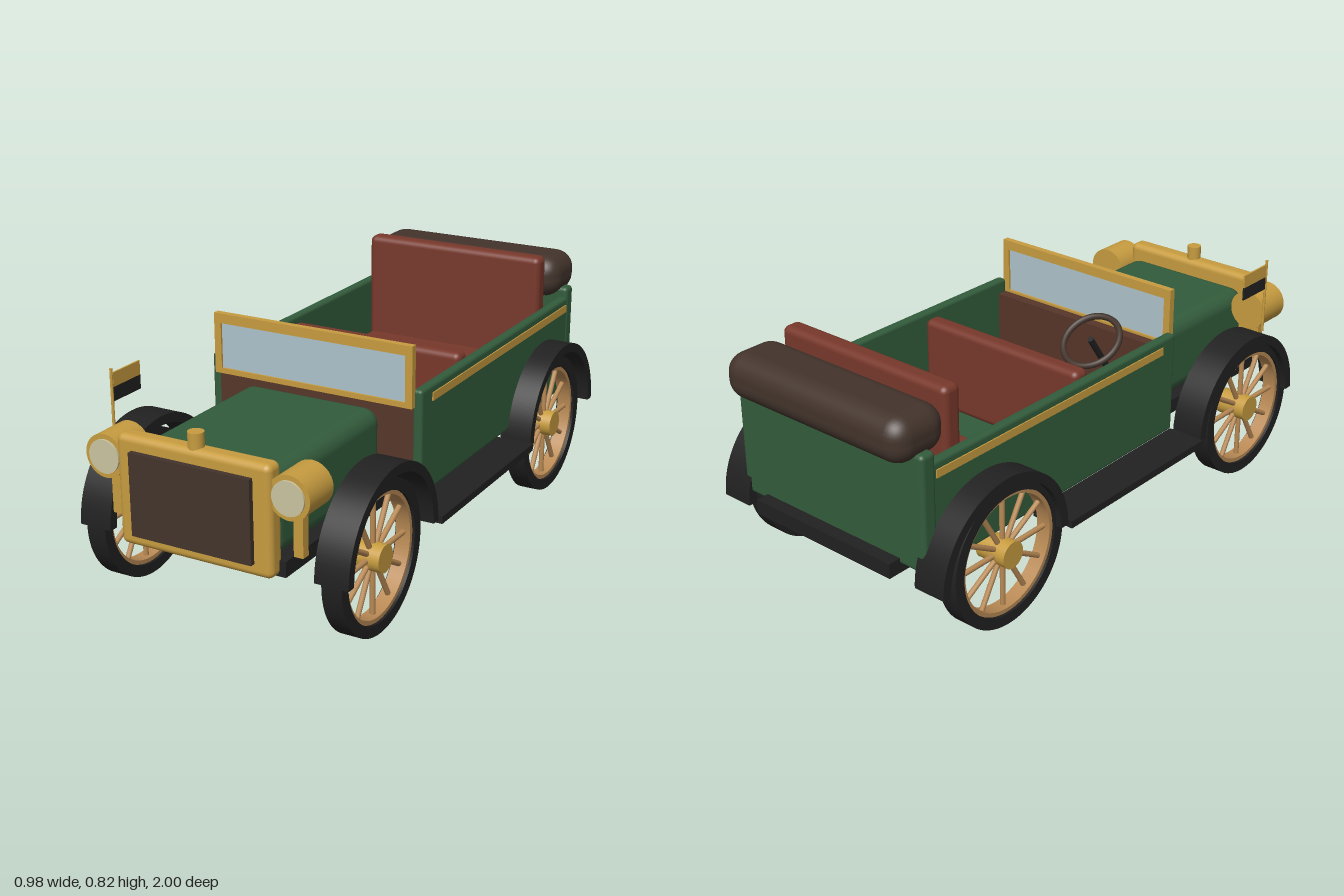
import * as THREE from 'three';
import { RoundedBoxGeometry } from 'three/addons/geometries/RoundedBoxGeometry.js';

const mat = (name, color, side = THREE.FrontSide) => {
  const m = new THREE.MeshStandardMaterial({ color, side });
  m.name = name;
  return m;
};

export function createModel() {
  const green = mat('green paint', 0x335c3c);
  const brass = mat('brass', 0xc79c40);
  const leather = mat('red leather', 0x78382b);
  const brown = mat('dark brown', 0x43342c);
  const panelBrown = mat('panel brown', 0x573629);
  const black = mat('black', 0x212121);
  const wood = mat('spoke wood', 0xb98a55);
  const glass = mat('glass', 0xaec3cb);
  const lensCream = mat('lens cream', 0xcbc4a0);

  const car = new THREE.Group();
  car.name = 'vintageCar';

  const add = (name, geometry, material, parent = car) => {
    const mesh = new THREE.Mesh(geometry, material);
    mesh.name = name;
    parent.add(mesh);
    return mesh;
  };
  // Box given by its limits on each axis; r rounds the edges
  const box = (name, material, [x0, x1], [y0, y1], [z0, z1], r = 0) => {
    const size = [x1 - x0, y1 - y0, z1 - z0];
    const g = r ? new RoundedBoxGeometry(...size, 4, r) : new THREE.BoxGeometry(...size);
    g.translate((x0 + x1) / 2, (y0 + y1) / 2, (z0 + z1) / 2);
    return add(name, g, material);
  };
  const cylinder = (r, h, seg = 32) => new THREE.CylinderGeometry(r, r, h, seg);
  // Ring or half ring standing in the yz plane, centred on x = 0
  const ring = (outer, inner, width, angle) => {
    const s = new THREE.Shape();
    s.absarc(0, 0, outer, 0, angle, false);
    if (angle < 6) {
      s.absarc(0, 0, inner, angle, 0, true);
      s.closePath();
    } else {
      const hole = new THREE.Path();
      hole.absarc(0, 0, inner, 0, angle, true);
      s.holes.push(hole);
    }
    const g = new THREE.ExtrudeGeometry(s, { depth: width, bevelEnabled: false, curveSegments: 56 });
    g.translate(0, 0, -width / 2);
    return g.rotateY(Math.PI / 2);
  };

  // Chassis and body tub
  box('chassis', black, [-0.29, 0.29], [0.26, 0.31], [-0.97, 0.94]);
  box('floor', green, [-0.38, 0.38], [0.287, 0.33], [-0.9, 0.28]);
  box('rearPanel', green, [-0.393, 0.393], [0.287, 0.68], [-0.925, -0.867], 0.015);
  box('firewall', panelBrown, [-0.365, 0.365], [0.295, 0.595], [0.25, 0.288]);

  // Bonnet, radiator and cap
  box('bonnet', green, [-0.25, 0.25], [0.295, 0.567], [0.285, 0.93], 0.05);
  box('radiatorShell', brass, [-0.268, 0.268], [0.26, 0.616], [0.915, 0.982], 0.022);
  box('radiatorGrille', brown, [-0.21, 0.21], [0.304, 0.571], [0.97, 1.0]);
  add('radiatorCap', cylinder(0.025, 0.06), brass).position.set(0, 0.632, 0.95);

  // Windscreen
  box('windscreenTop', brass, [-0.365, 0.365], [0.757, 0.79], [0.287, 0.31]);
  box('windscreenBottom', brass, [-0.365, 0.365], [0.585, 0.603], [0.287, 0.31]);
  box('windscreenGlass', glass, [-0.342, 0.342], [0.6, 0.76], [0.295, 0.303]);

  // Seats
  box('rearSeatCushion', leather, [-0.345, 0.345], [0.33, 0.45], [-0.73, -0.42], 0.022);
  box('rearSeatBack', leather, [-0.345, 0.345], [0.36, 0.822], [-0.775, -0.705], 0.022);
  box('frontSeatCushion', leather, [-0.33, 0.33], [0.33, 0.45], [-0.12, 0.16], 0.022);
  box('frontSeatBack', leather, [-0.33, 0.33], [0.33, 0.64], [-0.16, -0.095], 0.022);

  // Folded hood at the back
  box('foldedTop', brown, [-0.376, 0.376], [0.648, 0.8], [-1.0, -0.787], 0.065);

  // Steering wheel and column, tilted towards the driver
  const steering = new THREE.Group();
  steering.name = 'steering';
  steering.position.set(-0.175, 0.615, 0.113);
  steering.rotation.x = -0.61;
  car.add(steering);
  add('steeringWheel', new THREE.TorusGeometry(0.1, 0.011, 10, 40).rotateX(Math.PI / 2), brown, steering);
  add('steeringColumn', cylinder(0.011, 0.25, 14).translate(0, -0.115, 0), black, steering);

  // Pennant on the right
  add('flagPole', cylinder(0.005, 0.27, 10), brass).position.set(-0.397, 0.61, 0.82);
  box('flagUpper', brass, [-0.4, -0.394], [0.684, 0.73], [0.68, 0.815]);
  box('flagLower', black, [-0.4, -0.394], [0.638, 0.684], [0.68, 0.815]);

  // Paired parts
  for (const s of [-1, 1]) {
    const span = (a, b) => (s > 0 ? [a, b] : [-b, -a]);
    box('sideWall', green, span(0.355, 0.39), [0.287, 0.643], [-0.9, 0.29], 0.012);
    box('sideStripe', brass, span(0.387, 0.394), [0.59, 0.617], [-0.866, 0.22]);
    box('runningBoard', black, span(0.353, 0.49), [0.234, 0.259], [-0.37, 0.335]);
    box('windscreenSide', brass, span(0.34, 0.365), [0.585, 0.79], [0.287, 0.31]);

    // Headlamp
    box('headlampPost', brass, span(0.305, 0.337), [0.323, 0.48], [0.89, 0.92]);
    add('headlamp', cylinder(0.07, 0.13, 40).rotateX(Math.PI / 2), brass).position.set(s * 0.32, 0.527, 0.902);
    add('headlampLens', cylinder(0.054, 0.012, 40).rotateX(Math.PI / 2), lensCream).position.set(s * 0.32, 0.527, 0.968);

    // Wheels with mudguards set slightly back
    for (const [end, z] of [['front', 0.661], ['rear', -0.62]]) {
      add(end + 'Mudguard', ring(0.284, 0.252, 0.114, Math.PI), black).position.set(s * 0.421, 0.247, z - 0.038);

      const wheel = new THREE.Group();
      wheel.name = end + 'Wheel';
      wheel.position.set(s * 0.421, 0.245, z);
      car.add(wheel);
      add('tyre', ring(0.245, 0.207, 0.068, Math.PI * 2), black, wheel);
      add('rim', ring(0.209, 0.193, 0.05, Math.PI * 2), wood, wheel);
      add('hub', cylinder(0.045, 0.112).rotateZ(Math.PI / 2), brass, wheel).position.x = -s * 0.012;
      for (let i = 0; i < 12; i++) {
        const spoke = new THREE.CylinderGeometry(0.009, 0.009, 0.17, 10).translate(0, 0.115, 0);
        add('spoke', spoke.rotateX((i * Math.PI) / 6), wood, wheel);
      }
    }
  }
  return car;
}
